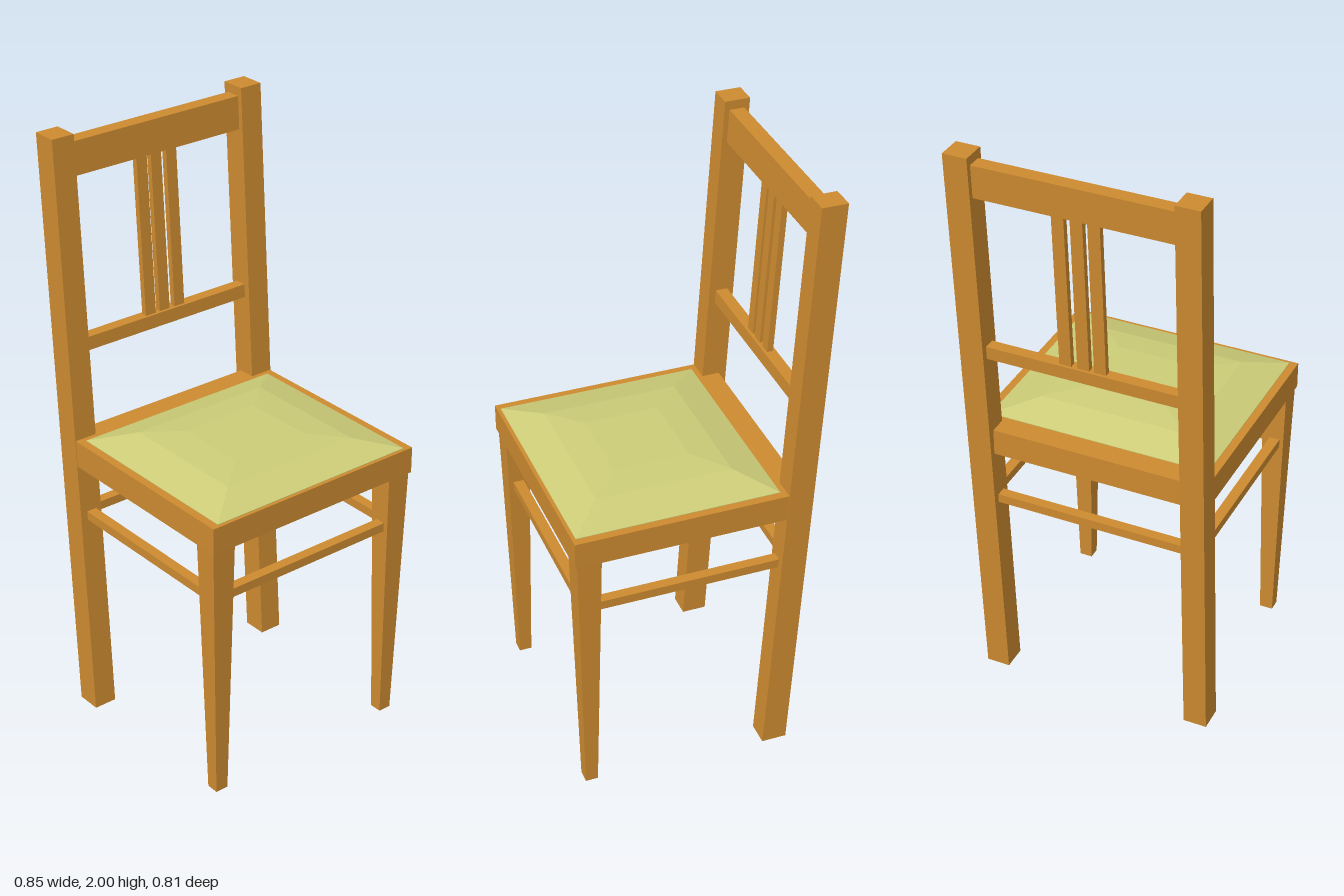
import * as THREE from 'three';

const wood = new THREE.MeshStandardMaterial({ color: 0xcc8a30, flatShading: true });
const fabric = new THREE.MeshStandardMaterial({ color: 0xcccc78, flatShading: true });

// Box between two levels whose bottom and top rectangles [x0, x1, z0, z1] may differ
function taperedBox(name, y0, y1, bottom, top = bottom) {
  const geo = new THREE.BoxGeometry(1, 1, 1);
  const p = geo.attributes.position;
  for (let i = 0; i < p.count; i++) {
    const up = p.getY(i) > 0;
    const r = up ? top : bottom;
    p.setXYZ(i, p.getX(i) < 0 ? r[0] : r[1], up ? y1 : y0, p.getZ(i) < 0 ? r[2] : r[3]);
  }
  geo.computeVertexNormals();
  const mesh = new THREE.Mesh(geo, wood);
  mesh.name = name;
  return mesh;
}

// Centre line of the backrest, raked towards -x
const rake = (y) => -0.26 - 0.0635 * y;

// Piece that follows the rake of the backrest
function rakedBox(name, y0, y1, z0, z1, depth) {
  const rect = (y) => [rake(y) - depth / 2, rake(y) + depth / 2, z0, z1];
  return taperedBox(name, y0, y1, rect(y0), rect(y1));
}

// Stepped cushion: rectangular rings joined by sloping faces
function cushion() {
  const rings = [
    [-0.262, 0.41, 0.376, 0.985],
    [-0.262, 0.41, 0.376, 1.002],
    [-0.15, 0.30, 0.25, 1.036],
    [-0.05, 0.20, 0.14, 1.046],
  ];
  const pos = [];
  const index = [];
  for (const [x0, x1, z, y] of rings) pos.push(x0, y, z, x1, y, z, x1, y, -z, x0, y, -z);
  for (let r = 0; r < rings.length - 1; r++) {
    for (let i = 0; i < 4; i++) {
      const a = r * 4 + i, b = r * 4 + (i + 1) % 4;
      index.push(a, b, b + 4, a, b + 4, a + 4);
    }
  }
  const t = (rings.length - 1) * 4;
  index.push(t, t + 1, t + 2, t, t + 2, t + 3, 0, 2, 1, 0, 3, 2);
  const indexed = new THREE.BufferGeometry();
  indexed.setAttribute('position', new THREE.Float32BufferAttribute(pos, 3));
  indexed.setIndex(index);
  const geo = indexed.toNonIndexed();
  geo.computeVertexNormals();
  const mesh = new THREE.Mesh(geo, fabric);
  mesh.name = 'seatCushion';
  return mesh;
}

export function createModel() {
  const chair = new THREE.Group();
  chair.name = 'chair';

  // Mirrored pairs: posts, front legs, side rails and side stretchers
  for (const s of [1, -1]) {
    const span = (a, b) => (s > 0 ? [a, b] : [-b, -a]);
    chair.add(
      rakedBox('backPost', 0, 2, ...span(0.325, 0.405), 0.084),
      taperedBox('frontLeg', 0, 0.915, [0.355, 0.397, ...span(0.33, 0.375)], [0.335, 0.415, ...span(0.315, 0.398)]),
      taperedBox('sideSeatRail', 0.91, 1, [-0.285, 0.422, ...span(0.318, 0.403)]),
      taperedBox('sideStretcher', 0.71, 0.74, [-0.29, 0.35, ...span(0.345, 0.38)]),
    );
  }

  // Cross pieces of the seat frame
  chair.add(
    taperedBox('frontSeatRail', 0.91, 1, [0.337, 0.422, -0.318, 0.318]),
    taperedBox('rearSeatRail', 0.91, 1, [-0.34, -0.24, -0.325, 0.325]),
    taperedBox('frontStretcher', 0.71, 0.74, [0.36, 0.395, -0.33, 0.33]),
    taperedBox('rearStretcher', 0.71, 0.74, [-0.325, -0.29, -0.33, 0.33]),
    cushion(),
  );

  // Backrest rails and slats
  chair.add(
    rakedBox('topRail', 1.86, 1.97, -0.326, 0.326, 0.05),
    rakedBox('lowerBackRail', 1.28, 1.325, -0.326, 0.326, 0.04),
  );
  for (const z of [-0.06, 0, 0.056]) {
    chair.add(rakedBox('backSlat', 1.32, 1.865, z - 0.02, z + 0.02, 0.02));
  }
  return chair;
}
